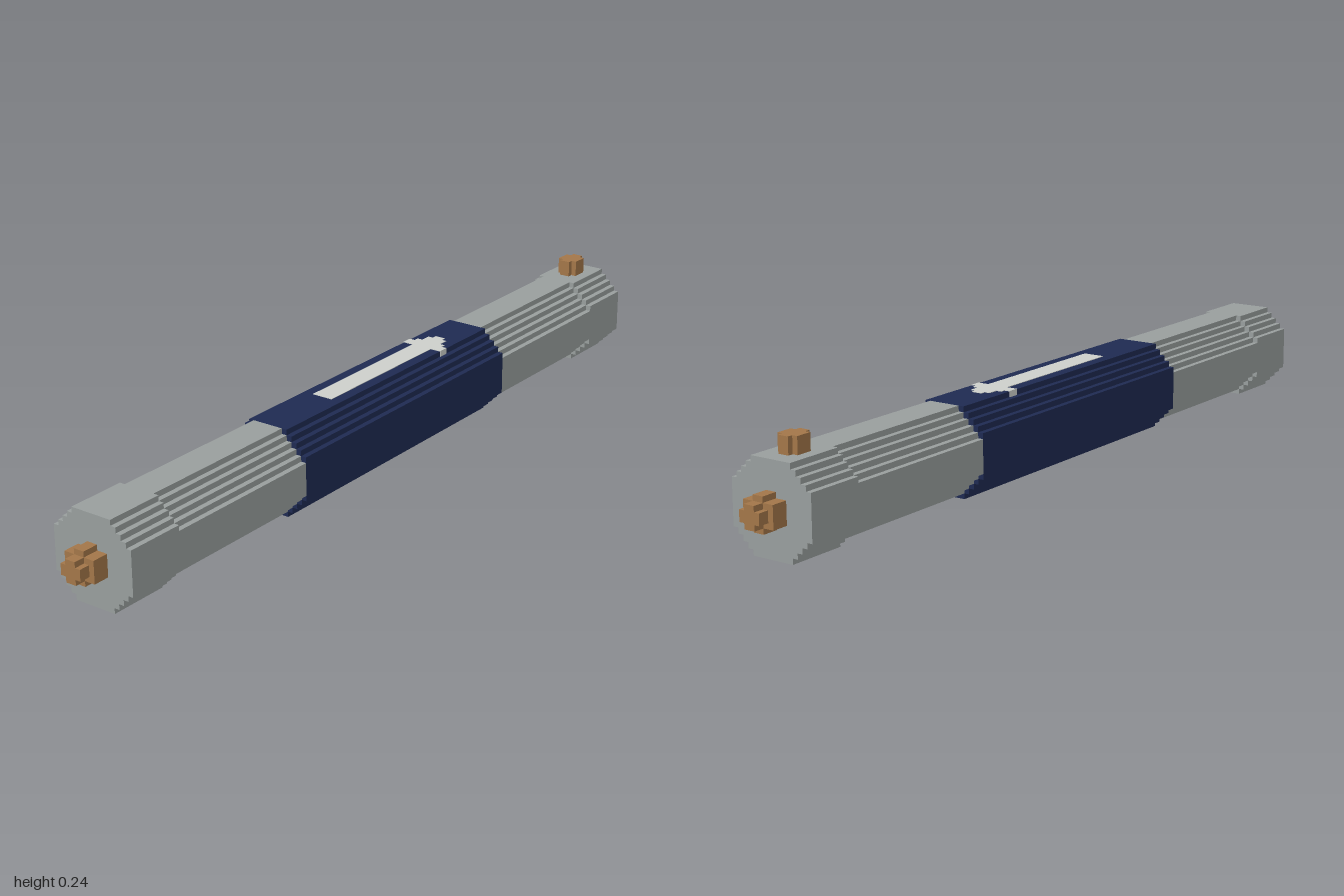
import * as THREE from 'three';

const U = 2 / 156; // one grid cell
const mat = (name, color) => Object.assign(new THREE.MeshStandardMaterial({ color }), { name });

// Stepped outline, mirrored left/right: rows are [start, end, halfWidth] going up
function steppedShape(rows) {
  const right = [];
  for (const [a, b, w] of rows) right.push([w, a], [w, b]);
  const left = right.map(([w, y]) => [-w, y]).reverse();
  return new THREE.Shape([...right, ...left].map(([x, y]) => new THREE.Vector2(x * U, y * U)));
}

const extrude = (shape, depth) =>
  new THREE.ExtrudeGeometry(shape, { depth: depth * U, bevelEnabled: false });

// Octagonal bar section with stair-stepped diagonals; flat = half length of each flat
function barRows(flat, bottom) {
  const rows = [[-flat, flat, 8]];
  for (let i = flat; i < 8; i++) {
    const w = 8 - (i - flat + 1);
    rows.push([i, i + 1, w]);
    if (i < bottom) rows.unshift([-i - 1, -i, w]);
  }
  return rows;
}

export function createModel() {
  const group = new THREE.Group();
  const grey = mat('bodyGrey', 0x9ba1a0);
  const blue = mat('bandBlue', 0x1f2b53);
  const white = mat('arrowWhite', 0xd0d3ce);
  const copper = mat('copper', 0xa5784a);

  const add = (name, geometry, material) => {
    const mesh = new THREE.Mesh(geometry, material);
    mesh.name = name;
    group.add(mesh);
  };
  // Section in the yz plane, run along x from cell x0 to x1
  const along = (name, rows, x0, x1, material) => {
    const g = extrude(steppedShape(rows), x1 - x0);
    g.rotateY(Math.PI / 2).translate(x0 * U, 8 * U, 0);
    add(name, g, material);
  };
  // Outline in the xz plane, raised from y0 by height (in cells)
  const upright = (name, rows, y0, height, material) => {
    const g = extrude(steppedShape(rows), height);
    g.rotateX(-Math.PI / 2).rotateY(-Math.PI / 2).translate(0, y0 * U, 0);
    add(name, g, material);
  };

  // Slim tubes with a shaved underside, wider end caps and centre band
  const slim = barRows(3, 7);
  const wide = barRows(4, 8);
  along('leftTube', slim, 30, 62, grey);
  along('rightTube', slim, -62, -30, grey);
  along('leftCap', wide, 62, 73, grey);
  along('rightCap', wide, -73, -62, grey);
  along('centreBand', wide, -30, 30, blue);

  // Stepped contacts on both ends
  const base = [[-3, -2, 1], [-2, 2, 3], [2, 3, 1]];
  const tip = [[-2, -1, 1], [-1, 1, 2], [1, 2, 1]];
  along('leftContactBase', base, 73, 76, copper);
  along('leftContactTip', tip, 76, 78, copper);
  along('rightContactBase', base, -76, -73, copper);
  along('rightContactTip', tip, -78, -76, copper);

  // Button on top of the left end
  upright('button', [[65, 66, 1], [66, 69, 2], [69, 70, 1]], 16, 3, copper);

  // Arrow inlaid in the band's top layer, pointing to the button
  const arrow = [[-15, 15, 2], [15, 17, 4.1], [17, 18, 3], [18, 20, 2], [20, 21, 1]];
  upright('arrow', arrow, 15, 1.1, white);

  return group;
}
